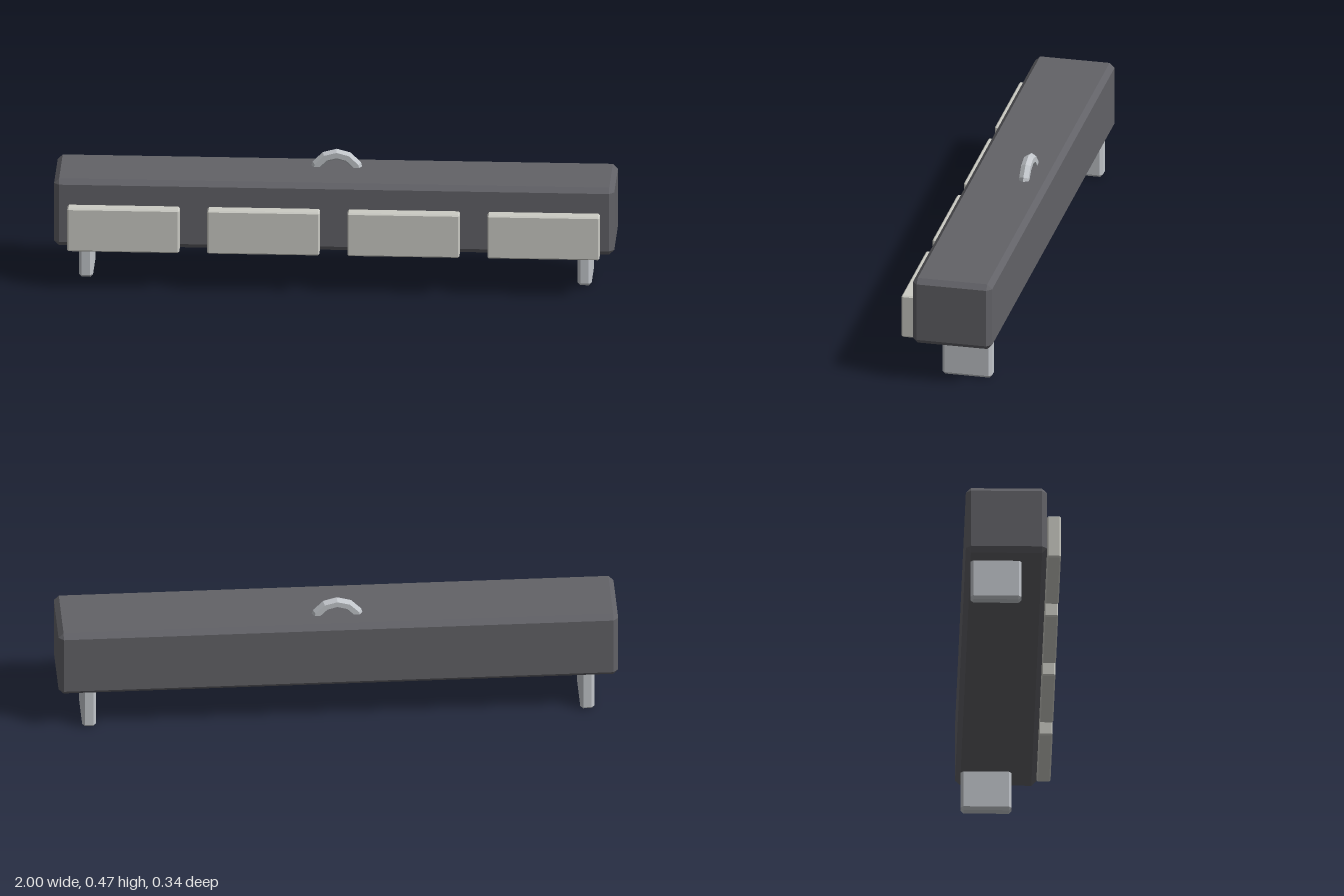
import * as THREE from 'three';
import { ConvexGeometry } from 'three/addons/geometries/ConvexGeometry.js';

const material = (color) => new THREE.MeshStandardMaterial({ color, flatShading: true });

// Box between two corners with every edge chamfered by c
function chamferBox(min, max, c) {
  const mid = min.map((v, i) => (v + max[i]) / 2);
  const half = max.map((v, i) => (v - min[i]) / 2);
  const points = [];
  for (const sx of [-1, 1]) for (const sy of [-1, 1]) for (const sz of [-1, 1]) {
    for (let face = 0; face < 3; face++) {
      const p = [sx, sy, sz].map((s, i) => mid[i] + s * (half[i] - (i === face ? 0 : c)));
      points.push(new THREE.Vector3(...p));
    }
  }
  return new ConvexGeometry(points);
}

export function createModel() {
  const group = new THREE.Group();
  const add = (name, geometry, mat) => {
    const mesh = new THREE.Mesh(geometry, mat);
    mesh.name = name;
    group.add(mesh);
    return mesh;
  };
  const dark = material(0x626267);
  const pale = material(0xcbcbc4);
  const metal = material(0xc2c6cb);

  // Long bar body
  add('body', chamferBox([-1, 0.147, -0.17], [1, 0.4, 0.12], 0.018), dark);

  // Four raised plates along the front
  for (let i = 0; i < 4; i++) {
    const x = -0.75 + i * 0.5;
    add('frontPlate' + (i + 1), chamferBox([x - 0.2, 0.147, 0.12], [x + 0.2, 0.309, 0.17], 0.005), pale);
  }

  // Thin blade legs at both ends
  for (const [name, x] of [['rightLeg', -0.89], ['leftLeg', 0.89]]) {
    add(name, chamferBox([x - 0.025, 0, -0.152], [x + 0.025, 0.165, 0.03], 0.01), metal);
  }

  // Half-ring loop on top, sunk into the body
  const loop = add('topLoop', new THREE.TorusGeometry(0.08, 0.02, 6, 6, Math.PI), metal);
  loop.position.set(0, 0.365, -0.08);

  return group;
}
